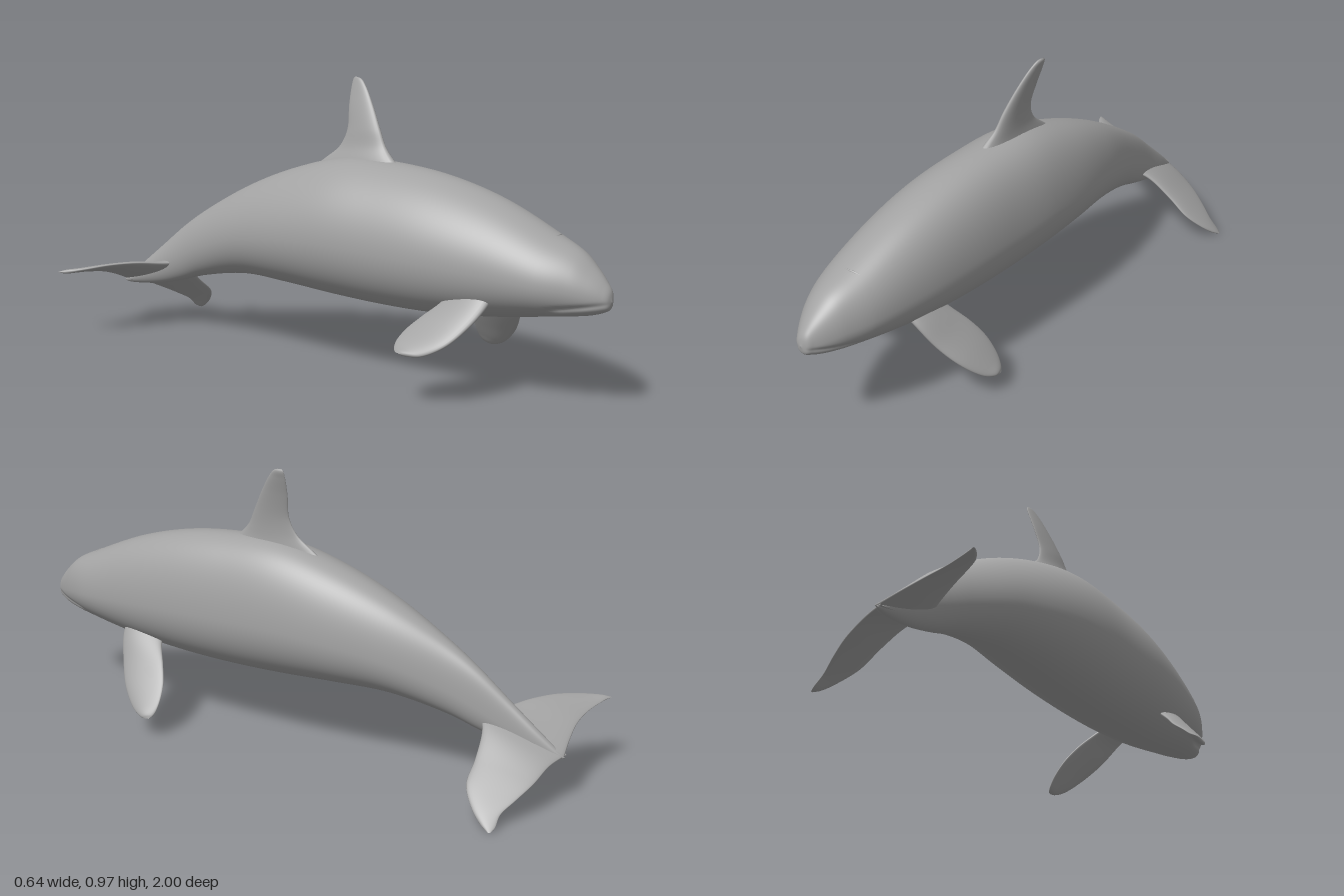
import * as THREE from 'three';

const V = (p) => new THREE.Vector3(...p);

// Smooth closed skin through a series of rings (arrays of Vector3 of equal length)
function loft(rings, steps, capStart = false) {
  const n = rings[0].length, rows = (rings.length - 1) * steps;
  const pos = [], idx = [];
  const rails = rings[0].map((_, j) => new THREE.CatmullRomCurve3(rings.map((r) => r[j])));
  for (let i = 0; i <= rows; i++) rails.forEach((c) => pos.push(...c.getPoint(i / rows).toArray()));
  for (let i = 0; i < rows; i++) {
    for (let j = 0; j < n; j++) {
      const a = i * n + j, b = i * n + (j + 1) % n;
      idx.push(a, a + n, b, b, a + n, b + n);
    }
  }
  const g = new THREE.BufferGeometry();
  g.setAttribute('position', new THREE.Float32BufferAttribute(pos, 3));
  g.setIndex(idx);
  return g;
}

// Fin from stations of [leading edge, trailing edge, half thickness]
function finGeometry(stations, n = 32) {
  const mids = stations.map(([l, t]) => V(l).add(V(t)).multiplyScalar(0.5));
  const rings = stations.map(([l, t, h], i) => {
    const chord = V(l).sub(V(t)).multiplyScalar(0.5);
    const span = mids[Math.min(i + 1, mids.length - 1)].clone().sub(mids[Math.max(i - 1, 0)]);
    const up = chord.clone().cross(span).normalize().multiplyScalar(h);
    return Array.from({ length: n }, (_, j) => {
      const a = (j / n) * Math.PI * 2, c = Math.cos(a);
      return mids[i].clone().addScaledVector(chord, c).addScaledVector(up, Math.sin(a) * (0.8 + 0.2 * c));
    });
  });
  return loft(rings, 8);
}

// Body sections: z, top y, bottom y, right x, left x
const BODY = [
  [1.0, 0.372, 0.368, 0.033, 0.037],
  [0.993, 0.402, 0.343, 0.012, 0.058],
  [0.975, 0.428, 0.332, -0.005, 0.072],
  [0.94, 0.465, 0.32, -0.03, 0.095],
  [0.89, 0.507, 0.31, -0.058, 0.122],
  [0.8, 0.55, 0.296, -0.095, 0.157],
  [0.6, 0.635, 0.265, -0.13, 0.193],
  [0.4, 0.688, 0.247, -0.15, 0.21],
  [0.2, 0.711, 0.243, -0.153, 0.216],
  [0.0, 0.711, 0.249, -0.15, 0.216],
  [-0.2, 0.661, 0.26, -0.13, 0.198],
  [-0.4, 0.58, 0.263, -0.09, 0.157],
  [-0.6, 0.468, 0.228, -0.042, 0.1],
  [-0.7, 0.4, 0.198, -0.022, 0.078],
  [-0.8, 0.318, 0.172, -0.01, 0.06],
  [-0.9, 0.235, 0.157, -0.002, 0.045],
  [-0.97, 0.175, 0.155, 0.005, 0.025],
  [-0.985, 0.162, 0.16, 0.012, 0.014],
];

function bodyGeometry() {
  const n = 96;
  const rings = BODY.map(([z, top, bottom, x0, x1]) => {
    const mid = bottom + 0.44 * (top - bottom), cx = (x0 + x1) / 2, w = (x1 - x0) / 2;
    return Array.from({ length: n }, (_, j) => {
      const a = (j / n) * Math.PI * 2, s = Math.sin(a);
      const y = s > 0 ? (top - mid) * s : (mid - bottom) * s;
      const lean = 0.13 * Math.max(0, y) * Math.max(0, s); // back rolls towards the left
      return new THREE.Vector3(cx + w * Math.cos(a) + lean, mid + y, z);
    });
  });
  const g = loft(rings, 8);
  // Mouth groove pressed into the snout
  const p = g.attributes.position;
  for (let i = 0; i < p.count; i++) {
    const z = p.getZ(i), d = p.getY(i) - (0.33 + 0.17 * (z - 0.8));
    const fade = THREE.MathUtils.smoothstep(z, 0.8, 0.87);
    const pull = fade * (0.09 * Math.exp(-((d / 0.008) ** 2)) - 0.05 * Math.exp(-(((d + 0.022) / 0.012) ** 2)));
    p.setX(i, 0.035 + (p.getX(i) - 0.035) * (1 - pull));
  }
  return g;
}

const DORSAL = [
  [[0.06, 0.66, 0.25], [0.07, 0.63, -0.2], 0.05],
  [[0.065, 0.715, 0.185], [0.075, 0.7, -0.1], 0.032],
  [[0.075, 0.755, 0.145], [0.08, 0.745, -0.045], 0.022],
  [[0.085, 0.81, 0.115], [0.088, 0.8, -0.021], 0.018],
  [[0.105, 0.885, 0.072], [0.108, 0.88, -0.028], 0.013],
  [[0.124, 0.945, 0.03], [0.128, 0.94, -0.032], 0.009],
  [[0.133, 0.968, 0.005], [0.136, 0.965, -0.03], 0.006],
  [[0.135, 0.973, -0.014], [0.136, 0.973, -0.024], 0.001],
];

const LEFT_FLIPPER = [
  [[0.09, 0.36, 0.64], [0.1, 0.33, 0.49], 0.035],
  [[0.155, 0.295, 0.625], [0.155, 0.285, 0.46], 0.024],
  [[0.205, 0.22, 0.59], [0.2, 0.235, 0.422], 0.02],
  [[0.26, 0.15, 0.54], [0.24, 0.18, 0.393], 0.017],
  [[0.298, 0.097, 0.48], [0.278, 0.125, 0.385], 0.013],
  [[0.312, 0.08, 0.44], [0.3, 0.092, 0.392], 0.009],
  [[0.314, 0.077, 0.42], [0.312, 0.079, 0.405], 0.001],
];

const RIGHT_FLIPPER = [
  [[-0.04, 0.39, 0.65], [-0.05, 0.36, 0.5], 0.035],
  [[-0.105, 0.325, 0.642], [-0.105, 0.315, 0.475], 0.024],
  [[-0.165, 0.265, 0.612], [-0.15, 0.275, 0.435], 0.02],
  [[-0.222, 0.212, 0.565], [-0.19, 0.235, 0.4], 0.017],
  [[-0.255, 0.18, 0.5], [-0.23, 0.205, 0.392], 0.013],
  [[-0.266, 0.178, 0.45], [-0.252, 0.187, 0.4], 0.009],
  [[-0.268, 0.18, 0.43], [-0.266, 0.182, 0.415], 0.001],
];

const LEFT_FLUKE = [
  [[0.02, 0.26, -0.69], [0.0, 0.165, -0.985], 0.025],
  [[0.085, 0.225, -0.735], [0.075, 0.15, -0.962], 0.019],
  [[0.17, 0.16, -0.755], [0.15, 0.115, -0.945], 0.014],
  [[0.24, 0.105, -0.762], [0.215, 0.08, -0.918], 0.011],
  [[0.286, 0.055, -0.805], [0.268, 0.047, -0.893], 0.009],
  [[0.31, 0.02, -0.85], [0.3, 0.017, -0.892], 0.007],
  [[0.319, 0.006, -0.878], [0.317, 0.006, -0.885], 0.001],
];

const RIGHT_FLUKE = [
  [[0.04, 0.265, -0.69], [0.02, 0.165, -0.985], 0.025],
  [[-0.03, 0.262, -0.75], [-0.05, 0.195, -0.972], 0.019],
  [[-0.12, 0.272, -0.805], [-0.13, 0.222, -0.963], 0.013],
  [[-0.2, 0.272, -0.857], [-0.205, 0.236, -0.967], 0.01],
  [[-0.27, 0.262, -0.915], [-0.262, 0.244, -0.979], 0.009],
  [[-0.308, 0.253, -0.965], [-0.3, 0.249, -0.99], 0.008],
  [[-0.322, 0.25, -0.994], [-0.319, 0.25, -0.998], 0.001],
];

export function createModel() {
  const model = new THREE.Group();
  const skin = new THREE.MeshStandardMaterial({ color: 0xa3a3a3 });
  skin.name = 'grey skin';
  const add = (name, geometry) => {
    geometry.computeVertexNormals();
    const mesh = new THREE.Mesh(geometry, skin);
    mesh.name = name;
    model.add(mesh);
  };

  add('body', bodyGeometry());
  add('dorsalFin', finGeometry(DORSAL));
  add('leftFlipper', finGeometry(LEFT_FLIPPER));
  add('rightFlipper', finGeometry(RIGHT_FLIPPER));
  add('leftFluke', finGeometry(LEFT_FLUKE));
  add('rightFluke', finGeometry(RIGHT_FLUKE));

  // Crescent rim of the blowhole
  const rim = new THREE.CatmullRomCurve3([[0.01, 0.536, 0.79], [0.035, 0.545, 0.8], [0.07, 0.546, 0.8], [0.1, 0.536, 0.79]].map(V));
  add('blowhole', new THREE.TubeGeometry(rim, 16, 0.004, 8));

  return model;
}
